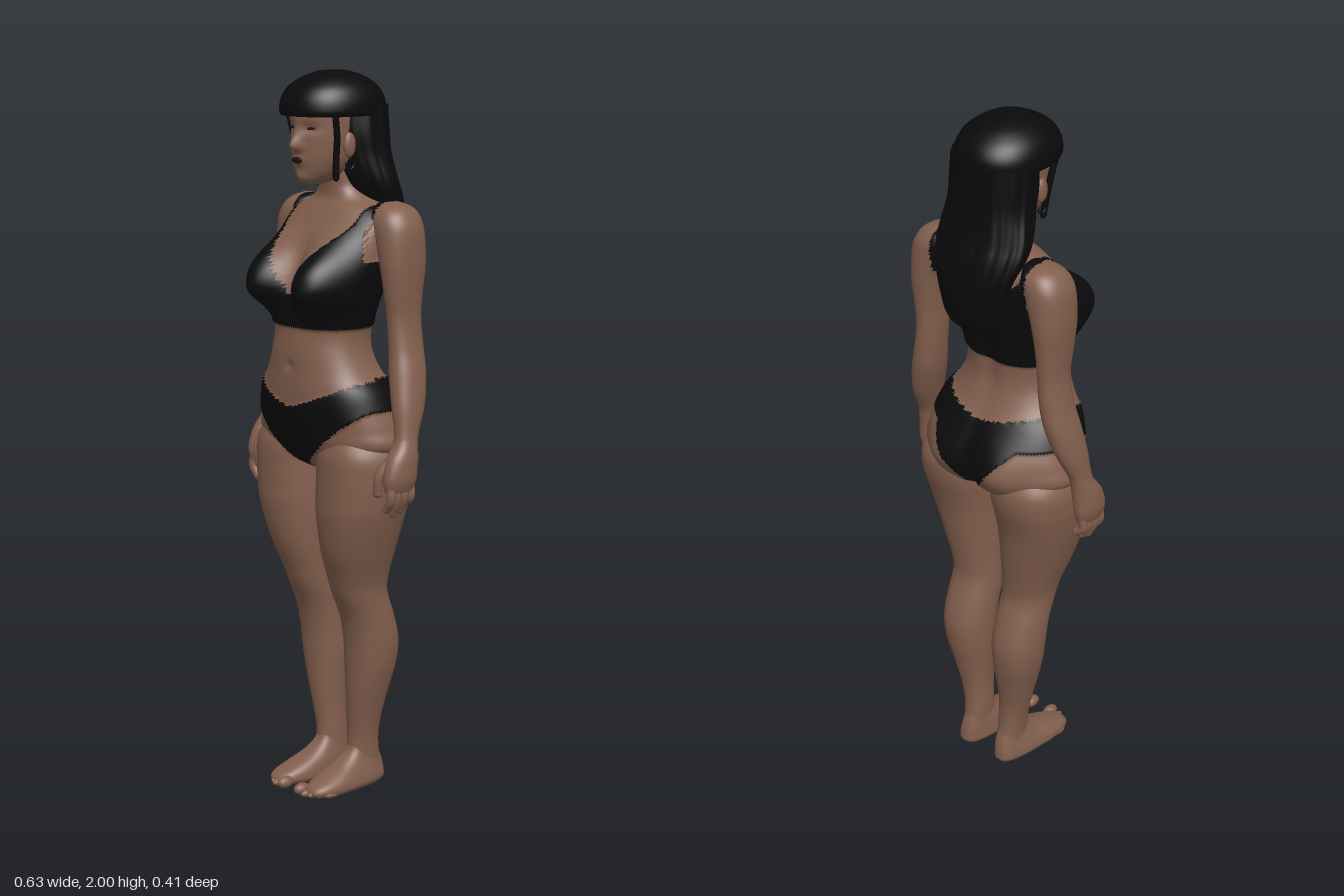
import * as THREE from 'three';

const material = (name, color) => {
  const m = new THREE.MeshStandardMaterial({ color });
  m.name = name;
  return m;
};

// Smooth interpolation through rows of numbers
function sampleRows(rows, t) {
  const f = t * (rows.length - 1), i = Math.min(Math.floor(f), rows.length - 2), u = f - i;
  const at = (k) => rows[Math.max(0, Math.min(rows.length - 1, k))];
  return rows[i].map((_, c) => {
    const a = at(i - 1)[c], b = at(i)[c], d = at(i + 1)[c], e = at(i + 2)[c];
    return b + 0.5 * u * (d - a + u * (2 * a - 5 * b + 4 * d - e + u * (3 * (b - d) + e - a)));
  });
}

// Closed skin over horizontal rings; row = [y, xInner, xOuter, zBack, zFront], listed upwards
function loft(rows, { side = 1, n, m, power = 2.2, shape, cloth }) {
  const pos = [], skinFaces = [], clothFaces = [], p = new THREE.Vector3();
  for (let i = -1; i <= m + 1; i++) {
    const [y, xi, xo, zb, zf] = sampleRows(rows, Math.max(0, Math.min(1, i / m)));
    const k = i < 0 || i > m ? 0.001 : 1;
    for (let j = 0; j < n; j++) {
      const a = (j / n) * Math.PI * 2, c = Math.cos(a), s = Math.sin(a);
      const ex = Math.sign(c) * Math.abs(c) ** (2 / power), ez = Math.sign(s) * Math.abs(s) ** (2 / power);
      p.set(side * (xi + xo) / 2 + k * ex * (xo - xi) / 2, y, (zb + zf) / 2 + k * ez * (zf - zb) / 2);
      if (shape && k === 1) shape(p, a);
      if (cloth && cloth(p)) { p.x += 0.004 * c; p.z += 0.004 * s; }
      pos.push(p.x, p.y, p.z);
    }
  }
  const centre = (...ids) => p.set(...[0, 1, 2].map((c) => ids.reduce((t, v) => t + pos[v * 3 + c], 0) / 3));
  for (let i = 0; i < m + 2; i++) for (let j = 0; j < n; j++) {
    const a = i * n + j, b = i * n + (j + 1) % n, c = a + n, d = b + n;
    for (const tri of [[a, c, b], [b, c, d]]) (cloth && cloth(centre(...tri)) ? clothFaces : skinFaces).push(...tri);
  }
  const g = new THREE.BufferGeometry();
  g.setAttribute('position', new THREE.Float32BufferAttribute(pos, 3));
  g.setIndex([...skinFaces, ...clothFaces]);
  g.addGroup(0, skinFaces.length, 0);
  g.addGroup(skinFaces.length, clothFaces.length, 1);
  g.computeVertexNormals();
  return g;
}

const symmetric = (rows) => rows.map(([y, r, zb, zf]) => [y, -r, r, zb, zf]);
const bell = (a, b, w) => Math.exp(-(((a - b) / w) ** 2));

// Outlines of the two garments
function isBriefs({ x, y, z }) {
  const a = Math.abs(x), t = Math.min(1, a / 0.2);
  const top = z > 0 ? 1.105 + 0.08 * t ** 1.4 : 1.15 + 0.04 * t;
  const bottom = Math.min(1.1, z > 0 ? 0.925 + 0.8 * a : 0.93 + 1.2 * a);
  return y < top && y > bottom;
}
function isStrap({ x, y }) {
  const a = Math.abs(x);
  return y > 1.54 && a > 0.132 && a < 0.166;
}
function isTop(p) {
  const a = Math.abs(p.x);
  if (isStrap(p)) return true;
  const neckline = p.z > 0 ? 1.4 + 1.5 * a : 1.47 + a;
  return p.y > 1.32 && p.y < neckline && p.y < 1.5 + Math.max(0, 0.185 - a) * 4 && a < 0.2;
}

// Bust, seat and navel
function shapeTorso(p) {
  const a = Math.abs(p.x);
  if (p.z > 0) {
    const dy = p.y - 1.445, d = ((a - 0.1) / 0.078) ** 2 + (dy / (dy > 0 ? 0.1 : 0.078)) ** 2;
    const lift = Math.exp(-(d ** 1.4));
    p.z += 0.095 * lift - 0.008 * bell(p.x, 0, 0.012) * bell(p.y, 1.215, 0.014);
    p.x += Math.sign(p.x) * 0.012 * lift;
  } else {
    p.z -= 0.032 * bell(a, 0.1, 0.075) * bell(p.y, 1.02, 0.08);
    p.z += 0.03 * bell(p.x, 0, 0.018) * bell(p.y, 0.99, 0.08);
    p.z += 0.01 * bell(p.x, 0, 0.03) * bell(p.y, 1.35, 0.2);
  }
}

// Nose, eye sockets, mouth and chin
function shapeFace(p) {
  if (p.z < 0.04) return;
  const a = Math.abs(p.x);
  p.z += 0.03 * bell(a, 0, 0.015) * bell(p.y, 1.803, p.y > 1.803 ? 0.035 : 0.012);
  p.z += 0.008 * bell(a, 0, 0.024) * bell(p.y, 1.767, 0.014) + 0.006 * bell(a, 0, 0.02) * bell(p.y, 1.722, 0.015);
  p.z -= 0.009 * bell(a, 0.036, 0.02) * bell(p.y, 1.852, 0.015);
}

const TORSO = symmetric([
  [0.915, 0.04, -0.08, 0.04], [0.95, 0.18, -0.145, 0.1], [1.0, 0.25, -0.165, 0.128], [1.05, 0.243, -0.168, 0.14],
  [1.1, 0.226, -0.158, 0.15], [1.15, 0.206, -0.133, 0.152], [1.2, 0.172, -0.105, 0.15], [1.25, 0.15, -0.088, 0.148],
  [1.3, 0.143, -0.087, 0.142], [1.36, 0.154, -0.095, 0.136], [1.42, 0.17, -0.11, 0.125], [1.5, 0.183, -0.13, 0.1],
  [1.56, 0.184, -0.14, 0.08], [1.6, 0.178, -0.142, 0.058], [1.635, 0.15, -0.137, 0.035], [1.66, 0.1, -0.122, 0.018],
  [1.69, 0.066, -0.1, 0.016], [1.73, 0.058, -0.092, 0.022], [1.78, 0.056, -0.09, 0.025]]);
const HEAD = symmetric([
  [1.702, 0.02, 0.03, 0.085], [1.712, 0.036, -0.01, 0.102], [1.735, 0.056, -0.04, 0.109], [1.77, 0.073, -0.07, 0.113],
  [1.81, 0.082, -0.09, 0.115], [1.85, 0.086, -0.11, 0.117], [1.9, 0.086, -0.11, 0.115], [1.95, 0.07, -0.09, 0.09],
  [1.975, 0.03, -0.04, 0.04]]);
const LEG = [
  [0.05, 0.03, 0.1, -0.12, -0.01], [0.13, 0.03, 0.103, -0.11, -0.015], [0.2, 0.032, 0.116, -0.112, -0.01],
  [0.28, 0.028, 0.137, -0.126, -0.002], [0.36, 0.022, 0.158, -0.142, 0.003], [0.43, 0.02, 0.166, -0.145, 0.008],
  [0.5, 0.02, 0.166, -0.127, 0.022], [0.57, 0.02, 0.165, -0.104, 0.052], [0.62, 0.018, 0.173, -0.104, 0.07],
  [0.7, 0.014, 0.2, -0.115, 0.1], [0.8, 0.009, 0.232, -0.13, 0.12], [0.86, 0.006, 0.245, -0.145, 0.122],
  [0.92, 0.004, 0.252, -0.162, 0.122], [0.98, 0.006, 0.249, -0.163, 0.12], [1.04, 0.03, 0.215, -0.13, 0.1]];
const FOOT = [
  [0, 0.026, 0.11, -0.12, 0.13], [0.012, 0.016, 0.122, -0.13, 0.145], [0.03, 0.016, 0.122, -0.13, 0.135],
  [0.048, 0.018, 0.116, -0.128, 0.095], [0.07, 0.022, 0.108, -0.122, 0.04], [0.1, 0.029, 0.1, -0.112, -0.005],
  [0.13, 0.034, 0.098, -0.105, -0.02]];
const ARM = [
  [0.895, 0.262, 0.306, -0.042, 0.05], [0.93, 0.256, 0.316, -0.052, 0.055], [0.98, 0.25, 0.315, -0.055, 0.04],
  [1.02, 0.25, 0.307, -0.06, 0.012], [1.05, 0.246, 0.302, -0.068, 0.004], [1.12, 0.224, 0.296, -0.1, 0.0],
  [1.2, 0.2, 0.281, -0.12, -0.01], [1.27, 0.189, 0.263, -0.125, -0.02], [1.35, 0.182, 0.252, -0.125, -0.02],
  [1.42, 0.177, 0.256, -0.13, -0.01], [1.5, 0.165, 0.262, -0.139, 0.0], [1.58, 0.14, 0.259, -0.14, 0.002],
  [1.62, 0.13, 0.245, -0.135, -0.005], [1.645, 0.13, 0.222, -0.118, -0.025], [1.657, 0.14, 0.19, -0.09, -0.05]];
const HAIR_CROWN = symmetric([
  [1.884, 0.122, -0.153, 0.138], [1.9, 0.126, -0.156, 0.142], [1.93, 0.122, -0.152, 0.136], [1.96, 0.106, -0.132, 0.115],
  [1.985, 0.074, -0.095, 0.075], [2.0, 0.035, -0.05, 0.03]]);
const HAIR_BACK = symmetric([
  [1.435, 0.035, -0.165, -0.12], [1.46, 0.08, -0.183, -0.115], [1.53, 0.105, -0.194, -0.1], [1.6, 0.122, -0.197, -0.085],
  [1.66, 0.139, -0.186, -0.04], [1.71, 0.14, -0.17, -0.01], [1.78, 0.127, -0.158, 0.015], [1.84, 0.124, -0.155, 0.03],
  [1.91, 0.12, -0.152, 0.03]]);

export function createModel() {
  const skin = material('skin', 0x825f4d);
  const fabric = material('black fabric', 0x0b0b0b);
  const hair = material('black hair', 0x0a0a0b);
  const lipColour = material('dark lips', 0x1f0f0d);
  const eyeColour = material('dark eyes', 0x1c1310);
  const model = new THREE.Group();
  const add = (name, geometry, mat) => {
    const mesh = new THREE.Mesh(geometry, mat);
    mesh.name = name;
    model.add(mesh);
    return mesh;
  };
  const blob = (name, mat, [x, y, z], [a, b, c]) => {
    const mesh = add(name, new THREE.SphereGeometry(1, 14, 10), mat);
    mesh.position.set(x, y, z);
    mesh.scale.set(a, b, c);
    return mesh;
  };
  const tube = (name, mat, points, r) => {
    const v = points.map((q) => new THREE.Vector3(...q));
    add(name, new THREE.TubeGeometry(new THREE.CatmullRomCurve3(v), 10, r, 10), mat);
    for (const end of [v[0], v.at(-1)]) blob(name + 'End', mat, end.toArray(), [r, r, r]);
  };

  // Torso with garments, head and hair
  add('torso', loft(TORSO, { n: 128, m: 150, shape: shapeTorso, cloth: (p) => isBriefs(p) || isTop(p) }), [skin, fabric]);
  add('head', loft(HEAD, { n: 80, m: 64, shape: shapeFace }), skin);
  const strands = (p, a) => {
    const k = 1 + 0.012 * Math.sin(a * 13 + p.y * 9) + 0.008 * Math.sin(a * 29);
    p.x *= k;
    p.z = -0.05 + (p.z + 0.05) * k;
  };
  add('hairCrown', loft(HAIR_CROWN, { n: 64, m: 24 }), hair);
  add('hairBack', loft(HAIR_BACK, { n: 90, m: 36, shape: strands }), hair);
  blob('lips', lipColour, [0, 1.767, 0.118], [0.02, 0.009, 0.006]);

  for (const side of [1, -1]) {
    const label = side > 0 ? 'left' : 'right';
    // Face details
    const eye = blob(label + 'Eye', eyeColour, [side * 0.036, 1.852, 0.099], [0.015, 0.0045, 0.006]);
    eye.rotation.set(0, side * 0.3, side * 0.12);
    blob(label + 'Ear', skin, [side * 0.094, 1.808, 0.015], [0.012, 0.034, 0.02]);
    tube(label + 'HairLock', hair, [[side * 0.098, 1.9, 0.07], [side * 0.09, 1.83, 0.055], [side * 0.08, 1.77, 0.05], [side * 0.074, 1.72, 0.045]], 0.009);
    const ring = add(label + 'Earring', new THREE.TorusGeometry(0.014, 0.0025, 8, 16), fabric);
    ring.position.set(side * 0.096, 1.757, 0.015);
    ring.rotation.y = Math.PI / 2;

    // Leg, foot and toes
    add(label + 'Leg', loft(LEG, { side, n: 56, m: 90, cloth: isBriefs }), [skin, fabric]);
    const narrowHeel = (p) => {
      const c = side * 0.066;
      p.x = c + (p.x - c) * Math.min(1, 0.84 + Math.max(0, p.z + 0.09) * 1.2) + side * 0.05 * Math.max(0, p.z);
    };
    add(label + 'Foot', loft(FOOT, { side, n: 48, m: 20, power: 2.6, shape: narrowHeel }), skin);
    [0.036, 0.061, 0.08, 0.097, 0.112].forEach((x, i) => {
      const r = i ? 0.0115 - i * 0.0005 : 0.017;
      blob(label + 'Toe', skin, [side * x, r, 0.138 - i * i * 0.003], [r, r, 0.026]);
    });

    // Arm, hand, fingers and thumb
    add(label + 'Arm', loft(ARM, { side, n: 48, m: 90, cloth: isStrap }), [skin, fabric]);
    [-0.033, -0.009, 0.015, 0.038].forEach((z, i) => {
      const tip = [0.848, 0.83, 0.822, 0.835][i];
      tube(label + 'Finger', skin, [[side * 0.288, 0.915, z], [side * 0.291, 0.875, z + 0.001], [side * 0.272, tip + 0.011, z - 0.002]], 0.0122);
    });
    tube(label + 'Thumb', skin, [[side * 0.268, 0.975, 0.025], [side * 0.256, 0.935, 0.05], [side * 0.25, 0.89, 0.05]], 0.0135);
  }
  return model;
}
